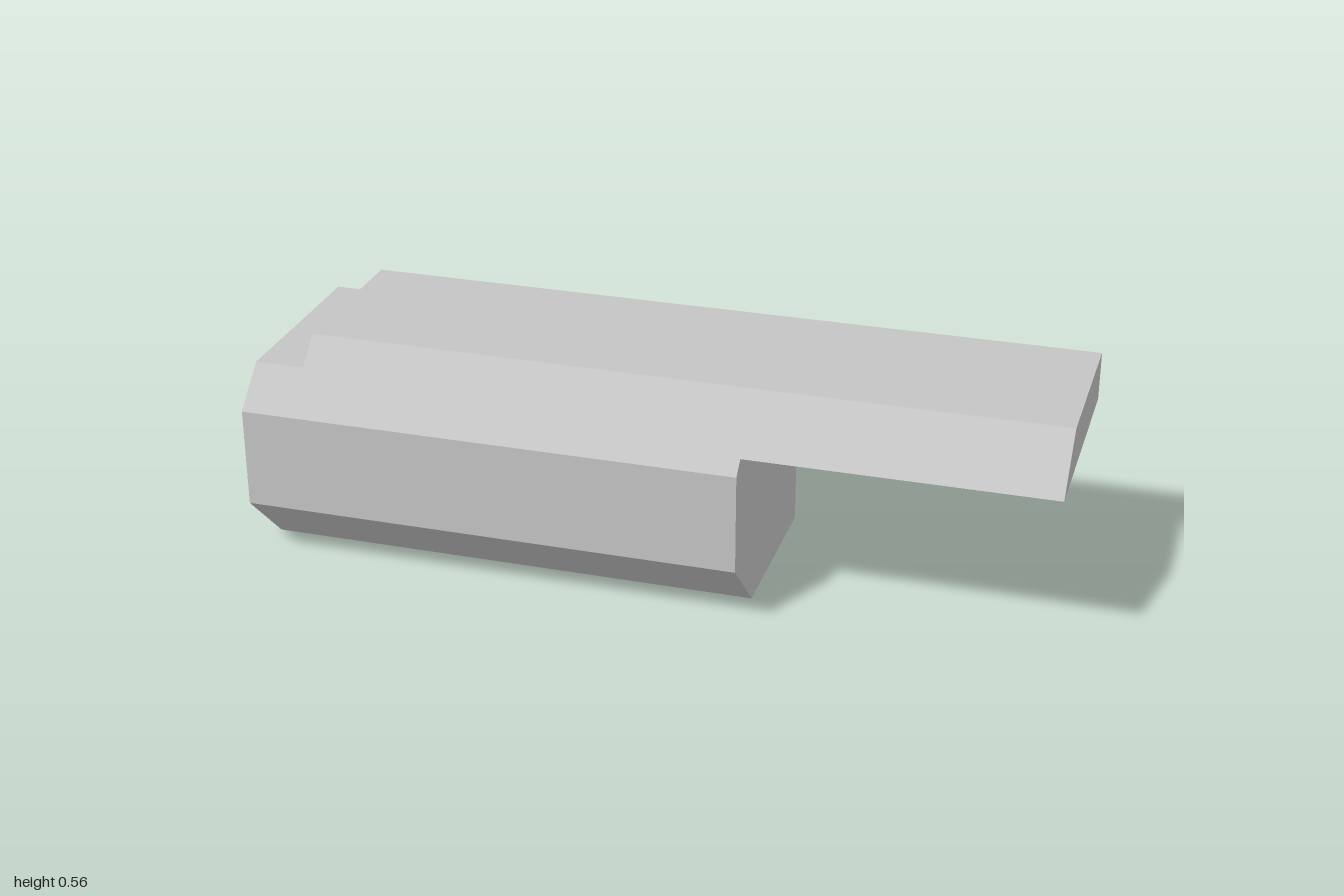
import * as THREE from 'three';

// Outline of the bevelled bar as [z, y], limited to a height band
const FRONT = 0.3, BACK = -0.3, TOP = 0.5625;
const bevel = [[0.14, 0], [FRONT, 0.157], [FRONT, 0.408], [0.137, TOP]];

// Depth of the front surface at height y
function frontAt(y) {
  for (let i = 0; i < bevel.length - 1; i++) {
    const [z0, y0] = bevel[i], [z1, y1] = bevel[i + 1];
    if (y <= y1) return z0 + (z1 - z0) * (y - y0) / (y1 - y0);
  }
  return bevel[bevel.length - 1][0];
}

// Slice of the bar between two heights, running from x0 to x1
function barSection(name, x0, x1, yLow, yHigh, material) {
  const outline = [
    [BACK, yLow],
    [frontAt(yLow), yLow],
    ...bevel.filter(([, y]) => y > yLow && y < yHigh),
    [frontAt(yHigh), yHigh],
    [BACK, yHigh],
  ];
  const shape = new THREE.Shape(outline.map(([z, y]) => new THREE.Vector2(-z, y)));
  const geometry = new THREE.ExtrudeGeometry(shape, { depth: x1 - x0, bevelEnabled: false });
  geometry.rotateY(Math.PI / 2).translate(x0, 0, 0);
  const mesh = new THREE.Mesh(geometry, material);
  mesh.name = name;
  return mesh;
}

export function createModel() {
  const grey = new THREE.MeshStandardMaterial({ color: 0xc4c4c4 });
  grey.name = 'light grey';

  const group = new THREE.Group();
  group.name = 'steppedBar';
  group.add(
    barSection('notchedEnd', -1, -0.875, 0, 0.5, grey),
    barSection('mainBlock', -0.875, 0.25, 0, TOP, grey),
    barSection('overhangingLedge', 0.25, 1, 0.44, TOP, grey),
  );
  return group;
}
